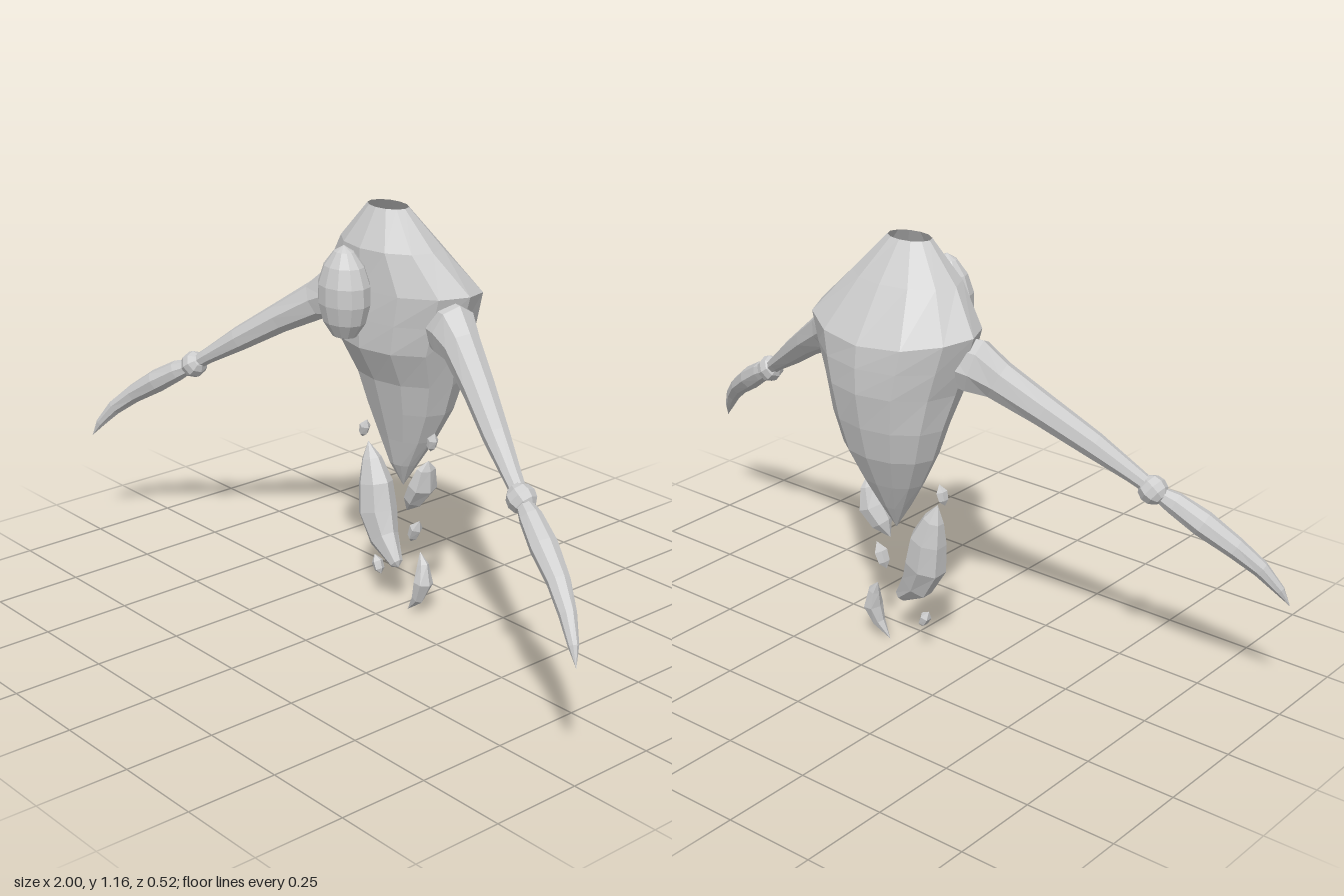
import * as THREE from 'three';

const stone = new THREE.MeshStandardMaterial({ color: 0xcccccc, side: THREE.DoubleSide, flatShading: true });
stone.name = 'pale grey stone';

// Faceted skin over a list of equal-length rings
function skin(rings, name) {
  const n = rings[0].length, pos = [];
  for (let i = 0; i < rings.length - 1; i++) {
    for (let j = 0; j < n; j++) {
      const k = (j + 1) % n;
      const a = rings[i][j], b = rings[i][k], c = rings[i + 1][k], d = rings[i + 1][j];
      for (const t of [[a, b, c], [a, c, d]]) {
        if (t[0].distanceTo(t[1]) < 1e-6 || t[1].distanceTo(t[2]) < 1e-6 || t[0].distanceTo(t[2]) < 1e-6) continue;
        for (const p of t) pos.push(p.x, p.y, p.z);
      }
    }
  }
  const geo = new THREE.BufferGeometry();
  geo.setAttribute('position', new THREE.Float32BufferAttribute(pos, 3));
  geo.computeVertexNormals();
  const mesh = new THREE.Mesh(geo, stone);
  mesh.name = name;
  return mesh;
}

// Sweep along sections [x, y, z, radius across, radius in depth]; side = -1 mirrors
function sweep(sections, name, sides = 6, side = 1) {
  const c = sections.map(s => new THREE.Vector3(s[0] * side, s[1], s[2]));
  const zAxis = new THREE.Vector3(0, 0, 1);
  return skin(sections.map((s, i) => {
    const t = c[Math.min(i + 1, c.length - 1)].clone().sub(c[Math.max(i - 1, 0)]).normalize();
    const u = zAxis.clone().cross(t).normalize();
    const v = t.clone().cross(u);
    return Array.from({ length: sides }, (_, j) => {
      const a = (j / sides) * Math.PI * 2;
      return c[i].clone().addScaledVector(u, Math.cos(a) * s[3]).addScaledVector(v, Math.sin(a) * s[4]);
    });
  }), name);
}

export function createModel() {
  const model = new THREE.Group();
  model.name = 'floatingGuardian';

  // Hollow torso: [front y, side y, back y, front z, back z, half width]
  const torso = [
    [0.36, 0.36, 0.36, -0.1, -0.1, 0],
    [0.43, 0.43, 0.43, -0.065, -0.14, 0.045],
    [0.51, 0.51, 0.51, -0.045, -0.18, 0.095],
    [0.6, 0.6, 0.6, -0.02, -0.22, 0.142],
    [0.69, 0.69, 0.69, 0.005, -0.243, 0.172],
    [0.79, 0.79, 0.79, 0.058, -0.26, 0.2],
    [0.87, 0.87, 0.86, 0.06, -0.26, 0.228],
    [0.95, 0.955, 0.92, 0.058, -0.255, 0.255],
    [1.06, 1.06, 1.06, 0.055, -0.163, 0.162],
    [1.16, 1.16, 1.16, 0, -0.085, 0.066],
  ];
  model.add(skin(torso.map(([yf, ys, yb, zf, zb, w]) => Array.from({ length: 12 }, (_, j) => {
    const a = (j / 12) * Math.PI * 2, c = Math.cos(a);
    const y = ys + ((c > 0 ? yf : yb) - ys) * c * c;
    return new THREE.Vector3(Math.sin(a) * w, y, (zf + zb) / 2 + c * (zf - zb) / 2);
  })), 'torso'));

  // Egg-shaped head floating in front of the torso
  const profile = [[0, 0.825], [0.036, 0.836], [0.064, 0.875], [0.078, 0.925], [0.078, 0.975],
    [0.06, 1.025], [0.03, 1.062], [0, 1.078]].map(p => new THREE.Vector2(...p));
  const head = new THREE.Mesh(new THREE.LatheGeometry(profile, 12), stone);
  head.name = 'head';
  head.scale.z = 0.8;
  head.position.z = 0.108;
  model.add(head);

  // Arms with a flared shoulder, ball elbow and pointed forearm
  for (const side of [1, -1]) {
    const arm = new THREE.Group();
    arm.name = side > 0 ? 'leftArm' : 'rightArm';
    arm.add(sweep([
      [0.17, 0.875, -0.075, 0.07, 0.06],
      [0.235, 0.866, -0.06, 0.078, 0.062],
      [0.29, 0.838, -0.04, 0.055, 0.05],
      [0.4, 0.77, 0.005, 0.043, 0.043],
      [0.52, 0.69, 0.058, 0.035, 0.035],
      [0.62, 0.622, 0.098, 0.023, 0.025],
      [0.665, 0.59, 0.115, 0.02, 0.02],
    ], 'upperArm', 8, side));
    const elbow = new THREE.Mesh(new THREE.SphereGeometry(0.039, 8, 6), stone);
    elbow.name = 'elbow';
    elbow.position.set(0.667 * side, 0.588, 0.115);
    elbow.rotation.z = side * 0.95;
    arm.add(elbow);
    arm.add(sweep([
      [0.68, 0.58, 0.12, 0.02, 0.02],
      [0.72, 0.56, 0.135, 0.03, 0.03],
      [0.79, 0.516, 0.16, 0.034, 0.037],
      [0.87, 0.462, 0.19, 0.028, 0.03],
      [0.93, 0.41, 0.22, 0.023, 0.022],
      [0.975, 0.354, 0.245, 0.014, 0.013],
      [1, 0.31, 0.26, 0, 0],
    ], 'forearm', 8, side));
    model.add(arm);
  }

  // Curved rock shards hanging below the torso
  model.add(sweep([
    [-0.13, 0.457, -0.085, 0, 0],
    [-0.116, 0.41, -0.085, 0.03, 0.027],
    [-0.096, 0.345, -0.082, 0.053, 0.046],
    [-0.083, 0.265, -0.078, 0.061, 0.052],
    [-0.048, 0.195, -0.072, 0.05, 0.038],
    [0.012, 0.138, -0.066, 0.02, 0.018],
    [0.022, 0.13, -0.065, 0, 0],
  ], 'largeShard', 7));
  model.add(sweep([
    [0.118, 0.47, -0.085, 0, 0],
    [0.11, 0.445, -0.085, 0.018, 0.03],
    [0.096, 0.39, -0.085, 0.033, 0.046],
    [0.068, 0.345, -0.08, 0.027, 0.034],
    [0.043, 0.305, -0.075, 0, 0],
  ], 'upperShard', 6));
  model.add(sweep([
    [0.06, 0.177, -0.11, 0, 0],
    [0.078, 0.145, -0.105, 0.018, 0.016],
    [0.088, 0.095, -0.098, 0.026, 0.029],
    [0.072, 0.045, -0.092, 0.018, 0.018],
    [0.035, 0, -0.088, 0, 0],
  ], 'lowerShard', 6));

  // Small chips: [x, y, z, half height, radius, lean]
  for (const [x, y, z, h, r, lean] of [
    [0.133, 0.527, -0.085, 0.028, 0.015, 0.008],
    [-0.145, 0.49, -0.085, 0.028, 0.015, 0.01],
    [0.067, 0.248, -0.085, 0.036, 0.018, 0.018],
    [-0.083, 0.1, -0.08, 0.026, 0.016, -0.014],
  ]) {
    model.add(sweep([
      [x + lean, y + h, z, 0, 0],
      [x + lean * 0.2, y + h * 0.3, z, r, r * 1.1],
      [x - lean * 0.5, y - h * 0.5, z, r * 0.8, r],
      [x - lean, y - h, z, 0, 0],
    ], 'chip', 5));
  }
  return model;
}
